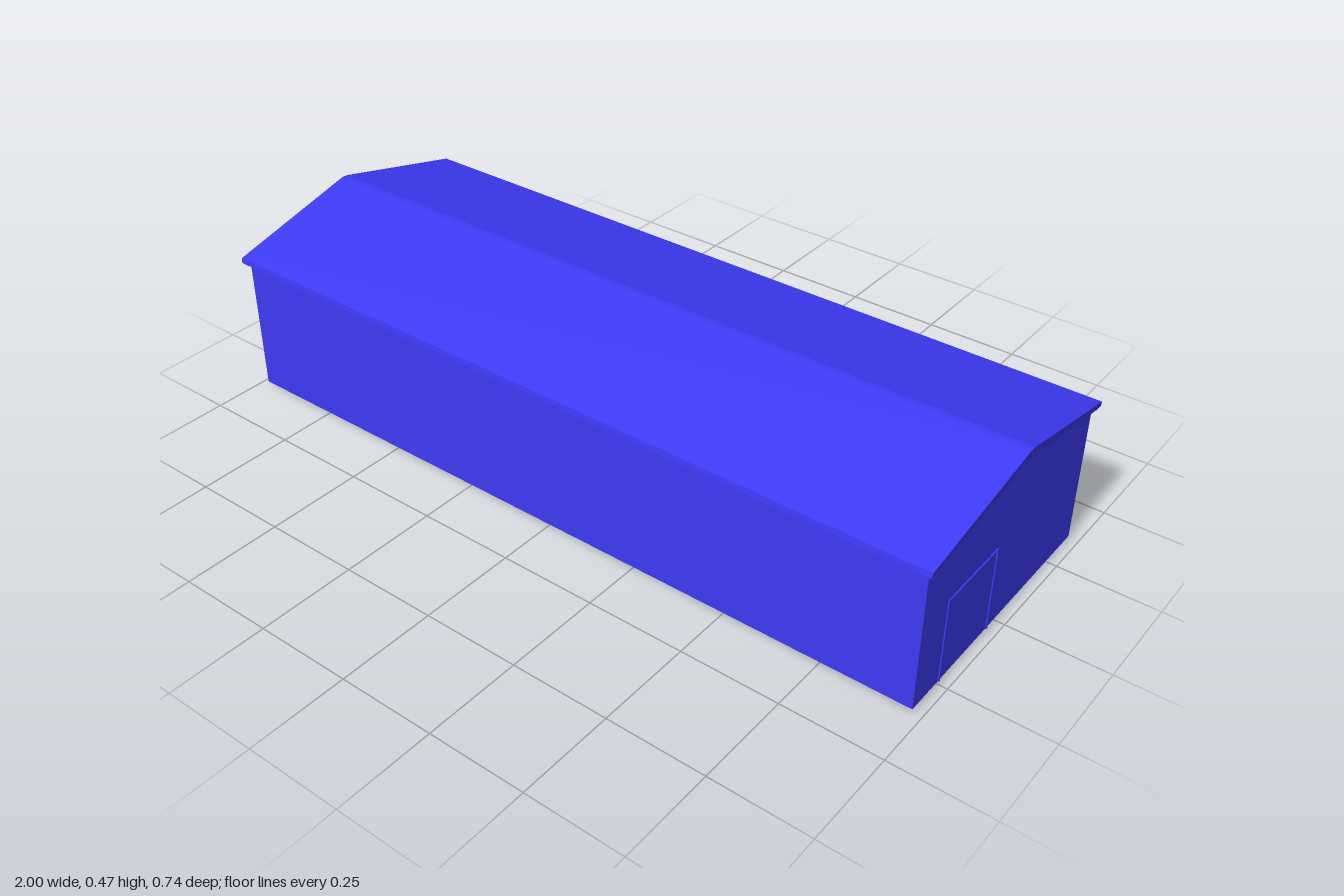
import * as THREE from 'three';

const material = new THREE.MeshStandardMaterial({ color: 0x3d3af5, side: THREE.DoubleSide, flatShading: true });
const WALL_X = 0.977, WALL_Z = 0.355, BASE = 0.01;

function add(parent, name, geometry, x = 0, y = 0, z = 0) {
  const mesh = new THREE.Mesh(geometry, material);
  mesh.name = name;
  mesh.position.set(x, y, z);
  parent.add(mesh);
  return mesh;
}

const shapeOf = (points) => new THREE.Shape(points.map(([a, b]) => new THREE.Vector2(a, b)));

// Upright posts and a head rail around an opening from z0 to z1
function doorFrame(parent, x, z0, z1, bottom, top, w, depth) {
  const h = top - bottom, mid = (bottom + top) / 2;
  for (const z of [z0 + w / 2, z1 - w / 2]) add(parent, 'doorPost', new THREE.BoxGeometry(depth, h, w), x, mid, z);
  add(parent, 'doorHead', new THREE.BoxGeometry(depth, w, z1 - z0), x, top - w / 2, (z0 + z1) / 2);
}

export function createModel() {
  const building = new THREE.Group();
  building.name = 'longShed';

  // Long side walls, open at the bottom
  const wallTop = 0.373;
  for (const s of [1, -1]) {
    const wall = add(building, 'sideWall', new THREE.PlaneGeometry(WALL_X * 2, wallTop - BASE), 0, (wallTop + BASE) / 2, s * WALL_Z);
    if (s < 0) wall.rotation.y = Math.PI;
  }

  // Gable end walls
  const gable = shapeOf([[-WALL_Z, BASE], [WALL_Z, BASE], [WALL_Z, wallTop], [0.01, 0.442], [-0.01, 0.442], [-WALL_Z, wallTop]]);
  for (const s of [1, -1]) {
    const end = add(building, 'gableWall', new THREE.ShapeGeometry(gable), s * WALL_X);
    end.rotation.y = s * Math.PI / 2;
  }

  // Roof slab with a narrow flat ridge; its ends lean outwards towards the top
  const profile = shapeOf([
    [-0.371, 0.37], [-0.355, 0.37], [-0.01, 0.441], [0.01, 0.441], [0.355, 0.37], [0.371, 0.37],
    [0.369, 0.383], [0.008, 0.467], [-0.008, 0.467], [-0.369, 0.383],
  ]);
  const roof = new THREE.ExtrudeGeometry(profile, { depth: 2, bevelEnabled: false });
  roof.translate(0, 0, -1).rotateY(Math.PI / 2);
  const p = roof.attributes.position;
  for (let i = 0; i < p.count; i++) {
    p.setX(i, Math.sign(p.getX(i)) * (0.99 + 0.01 * (p.getY(i) - 0.37) / 0.097));
  }
  roof.computeVertexNormals();
  add(building, 'roof', roof);

  // Single door in the left end
  const door = new THREE.Group();
  door.name = 'singleDoor';
  doorFrame(door, WALL_X, 0.043, 0.253, BASE, 0.23, 0.005, 0.006);
  building.add(door);

  // Pair of panelled gates in the right end, reaching the ground
  for (const [z0, z1] of [[-0.275, -0.035], [0.04, 0.28]]) {
    const gate = new THREE.Group();
    gate.name = 'panelledGate';
    const zc = (z0 + z1) / 2, x = -WALL_X;
    doorFrame(gate, x, z0, z1, 0, 0.225, 0.009, 0.012);
    add(gate, 'gatePanel', new THREE.BoxGeometry(0.004, 0.218, z1 - z0 - 0.014), x, 0.109, zc);
    add(gate, 'gateRail', new THREE.BoxGeometry(0.008, 0.006, z1 - z0 - 0.014), x, 0.1, zc);
    add(gate, 'gateMullion', new THREE.BoxGeometry(0.008, 0.19, 0.006), x, 0.095, zc);
    building.add(gate);
  }
  return building;
}
